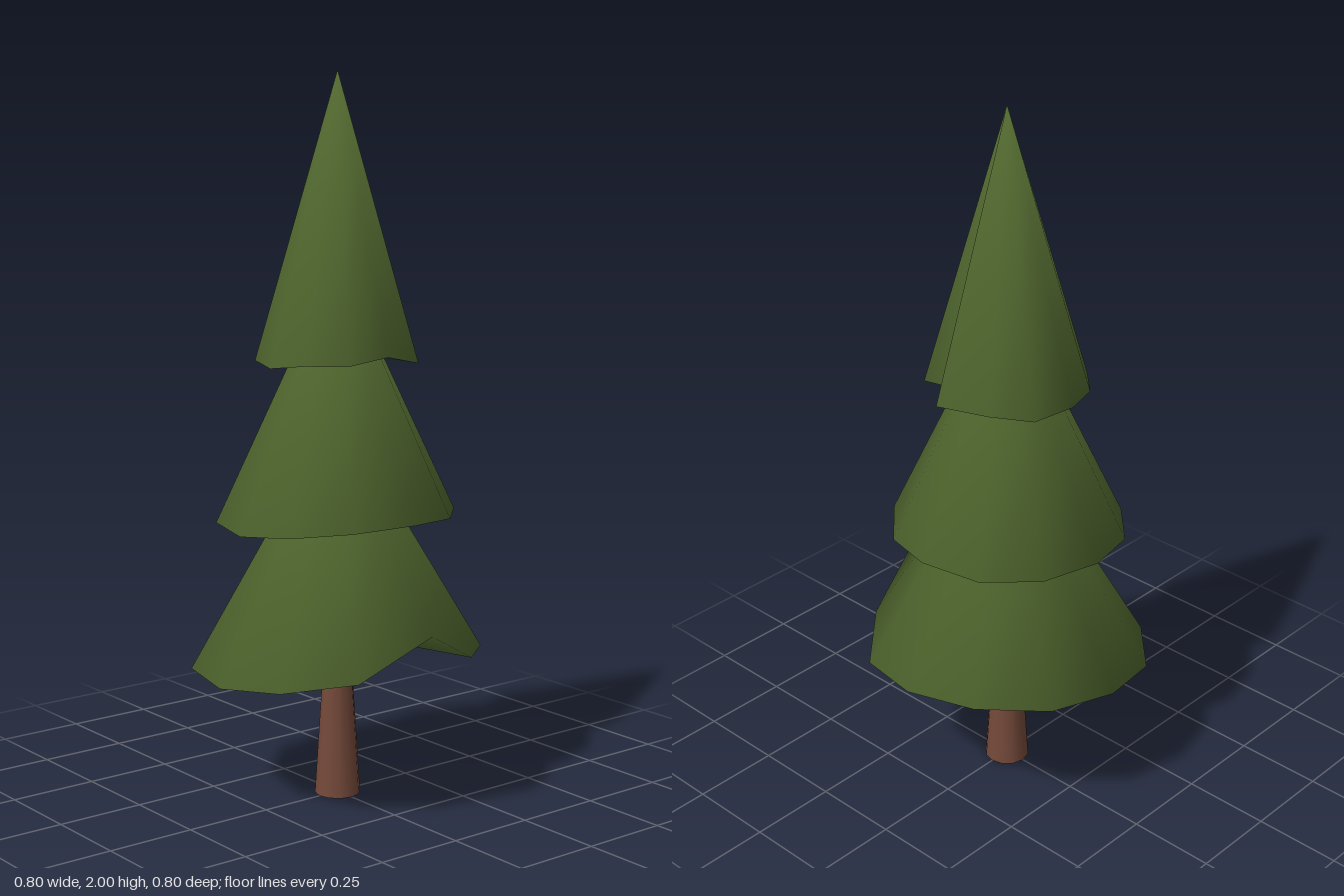
import * as THREE from 'three';

// A tier is a cone with an uneven rim, closed by a shallow fan underneath.
// Rim points run [x, y, z] from +x round towards +z; normals stay smooth over the rim.
function tierGeometry(rim, apexY, baseY) {
  const n = rim.length;
  const positions = [...rim.flat(), 0, apexY, 0, 0, baseY, 0];
  const index = [];
  for (let i = 0; i < n; i++) {
    const j = (i + 1) % n;
    index.push(i, n, j); // outer slope
    index.push(j, n + 1, i); // underside
  }
  const geometry = new THREE.BufferGeometry();
  geometry.setAttribute('position', new THREE.Float32BufferAttribute(positions, 3));
  geometry.setIndex(index);
  geometry.computeVertexNormals();
  return geometry;
}

const lowerRim = [
  [0.4, 0.42, 0.0], [0.36, 0.405, 0.195], [0.19, 0.43, 0.345],
  [0.0, 0.53, 0.4], [-0.195, 0.42, 0.335], [-0.345, 0.39, 0.195],
  [-0.4, 0.37, 0.0], [-0.345, 0.37, -0.215], [-0.195, 0.375, -0.36],
  [0.0, 0.4, -0.4], [0.21, 0.43, -0.36], [0.355, 0.44, -0.21],
];
const middleRim = [
  [0.333, 0.805, 0.0], [0.295, 0.8, 0.15], [0.17, 0.805, 0.275],
  [0.0, 0.815, 0.325], [-0.165, 0.805, 0.275], [-0.285, 0.79, 0.16],
  [-0.33, 0.775, 0.0], [-0.285, 0.78, -0.175], [-0.16, 0.785, -0.295],
  [0.0, 0.795, -0.335], [0.17, 0.795, -0.29], [0.295, 0.8, -0.175],
];
const upperRim = [
  [0.24, 1.23, 0.03], [0.16, 1.245, 0.08], [0.14, 1.22, 0.175],
  [0.0, 1.25, 0.215], [-0.105, 1.23, 0.18], [-0.19, 1.23, 0.105],
  [-0.22, 1.215, -0.01], [-0.19, 1.225, -0.12], [-0.11, 1.225, -0.2],
  [0.0, 1.23, -0.235], [0.115, 1.22, -0.205], [0.195, 1.235, -0.12],
];

export function createModel() {
  const tree = new THREE.Group();
  tree.name = 'pineTree';

  const foliage = new THREE.MeshStandardMaterial({ color: 0x536a30 });
  foliage.name = 'foliage green';
  const bark = new THREE.MeshStandardMaterial({ color: 0x74493a });
  bark.name = 'bark brown';

  // Tapered trunk, ending inside the lowest tier
  const trunk = new THREE.Mesh(new THREE.CylinderGeometry(0.034, 0.064, 0.47, 12), bark);
  trunk.position.y = 0.235;
  trunk.name = 'trunk';
  tree.add(trunk);

  // Three overlapping tiers of branches
  const tiers = [
    ['lowerBranches', lowerRim, 1.09, 0.46],
    ['middleBranches', middleRim, 1.5, 0.82],
    ['upperBranches', upperRim, 2.0, 1.25],
  ];
  for (const [name, rim, apexY, baseY] of tiers) {
    const tier = new THREE.Mesh(tierGeometry(rim, apexY, baseY), foliage);
    tier.name = name;
    tree.add(tier);
  }
  return tree;
}
